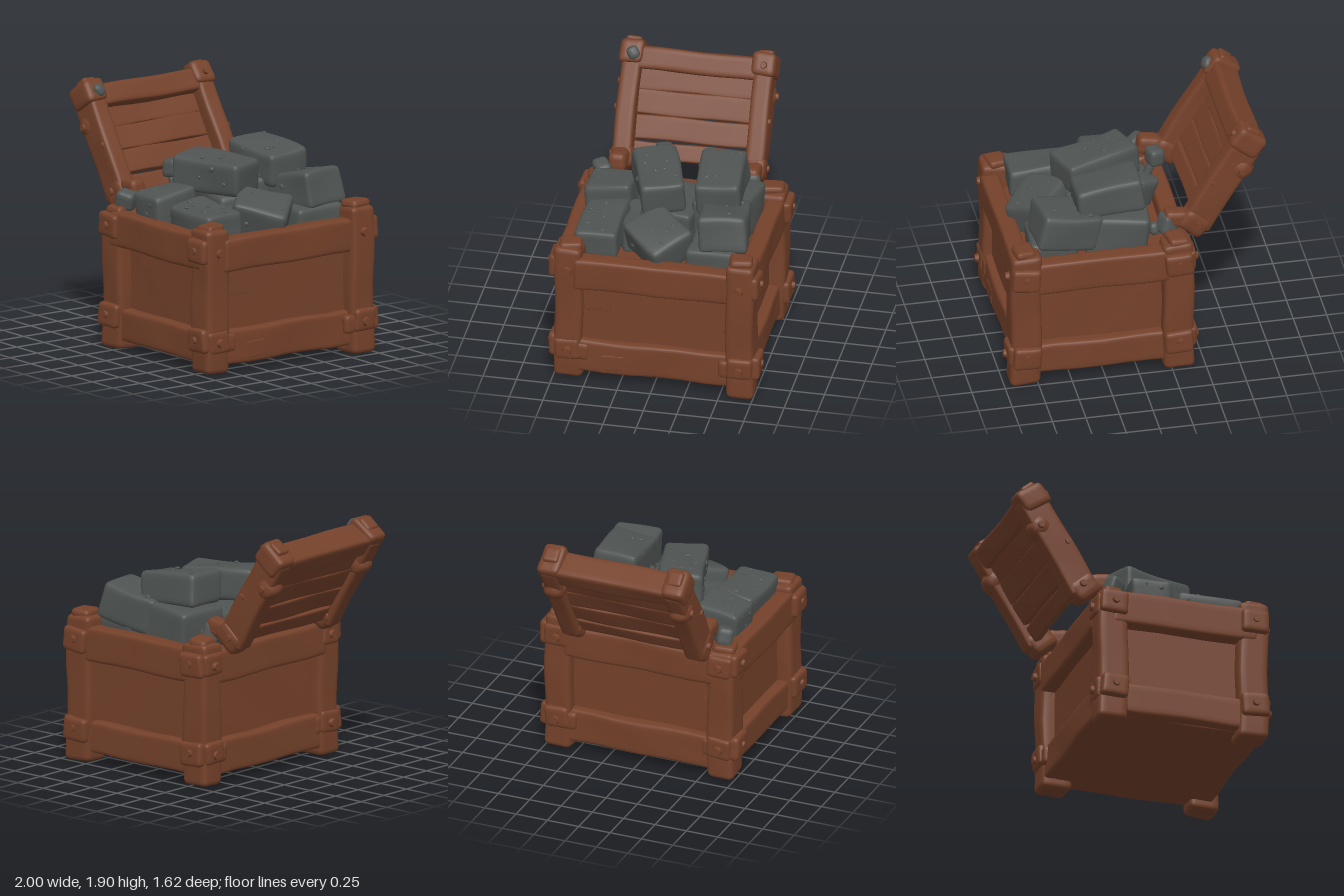
import * as THREE from 'three';
import { mergeVertices } from 'three/addons/utils/BufferGeometryUtils.js';

const wood = new THREE.MeshStandardMaterial({ color: 0x74412a });
wood.name = 'brown wood';
const coal = new THREE.MeshStandardMaterial({ color: 0x4f5452 });
coal.name = 'grey coal';

// Rounded box whose faces carry enough vertices to be bent by a gentle wave
function chunkGeometry(w, h, d, r, wobble, seed) {
  const n = 10, half = [w / 2, h / 2, d / 2];
  r = Math.min(r, ...half.map((v) => v * 0.9));
  let g = new THREE.BoxGeometry(w, h, d, n, n, n);
  g.deleteAttribute('normal');
  g.deleteAttribute('uv');
  g = mergeVertices(g, 1e-5);
  const p = g.attributes.position;
  for (let i = 0; i < p.count; i++) {
    const q = [p.getX(i), p.getY(i), p.getZ(i)].map((v, k) => {
      const s = Math.round((v / half[k]) * n / 2), a = Math.abs(s), e = half[k];
      const m = a === 5 ? e : a === 4 ? e - r * 0.45 : a === 3 ? e - r : (a / 3) * (e - r);
      return Math.sign(s) * m;
    });
    const inner = new THREE.Vector3(...q.map((v, k) => THREE.MathUtils.clamp(v, r - half[k], half[k] - r)));
    const v = new THREE.Vector3(...q).sub(inner);
    if (v.lengthSq() > 0) v.setLength(r);
    v.add(inner);
    const { x, y, z } = v;
    v.x += wobble * Math.sin(y * 9 + z * 7 + seed * 2.1);
    v.y += wobble * Math.sin(x * 8 + z * 9 + seed * 3.7);
    v.z += wobble * Math.sin(x * 9 + y * 8 + seed * 1.3);
    p.setXYZ(i, v.x, v.y, v.z);
  }
  g.computeVertexNormals();
  return g;
}

let seed = 0;
function chunk(parent, name, size, pos, rot = [0, 0, 0], mat = wood, r = 0.03, wobble = 0.006) {
  const m = new THREE.Mesh(chunkGeometry(...size, r, wobble, ++seed), mat);
  m.name = name;
  m.position.set(...pos);
  m.rotation.set(...rot, 'ZYX');
  parent.add(m);
  return m;
}

// Domed peg; axis is 'x' or 'z', dir is its outward sign
function peg(parent, pos, axis, dir, r = 0.032) {
  const m = new THREE.Mesh(new THREE.CylinderGeometry(r * 0.75, r, 0.035, 10), wood);
  m.name = 'peg';
  m.position.set(...pos);
  if (axis === 'x') m.rotation.z = -dir * Math.PI / 2;
  else m.rotation.x = dir * Math.PI / 2;
  parent.add(m);
}

function buildCrate() {
  const crate = new THREE.Group();
  crate.name = 'crate';
  chunk(crate, 'crateBody', [1.16, 0.84, 1.28], [0.26, 0.48, 0], [0, 0, 0], wood, 0.02, 0.002);

  // Rails around the top and bottom
  for (const s of [-1, 1]) {
    const x = s < 0 ? -0.345 : 0.85;
    chunk(crate, 'topRail', [1.12, 0.26, 0.14], [0.26, 0.9, s * 0.68], [0, 0, 0], wood, 0.03, 0.004);
    chunk(crate, 'bottomRail', [1.12, 0.24, 0.12], [0.26, 0.19, s * 0.66], [0, 0, 0], wood, 0.03, 0.004);
    chunk(crate, 'sideTopRail', [0.14, 0.25, 1.2], [x, 0.885, 0], [0, 0, 0], wood, 0.03, 0.004);
    chunk(crate, 'sideBottomRail', [0.12, 0.26, 1.2], [x - s * 0.01, 0.19, 0]);
  }

  // Corner posts: x, z, height
  const posts = [[-0.29, 0.64, 1.03], [0.79, 0.64, 1.08], [-0.3, -0.65, 1.07], [0.84, -0.65, 1.1]];
  for (const [x, z, h] of posts) {
    const sx = x < 0 ? -1 : 1, sz = Math.sign(z);
    chunk(crate, 'cornerPost', [0.23, h, 0.21], [x, h / 2, z], [0, 0, 0], wood, 0.04);
    chunk(crate, 'postCap', [0.15, 0.07, 0.17], [x, h, z], [0, 0.15, 0.04], wood, 0.03);
    for (const y of [0.25, 0.92]) {
      // Brackets wrapping the outer faces
      chunk(crate, 'bracket', [0.21, 0.18, 0.09], [x, y, z + sz * 0.1], [0, 0, 0.05 * sx]);
      peg(crate, [x, y + 0.01, z + sz * 0.145], 'z', sz);
      const plated = sx < 0 || y < 0.5;
      if (plated) chunk(crate, 'bracket', [0.07, 0.17, 0.19], [x + sx * 0.1, y, z], [0.06 * sz, 0, 0]);
      peg(crate, [x + sx * (plated ? 0.14 : 0.125), y - 0.01, z], 'x', sx, 0.038);
    }
    chunk(crate, 'railClamp', [0.07, 0.14, 0.13], [x + sx * 0.08, 0.23, z - sz * 0.09]);
  }

  // Thin patches on the sides
  chunk(crate, 'patch', [0.01, 0.19, 0.2], [0.842, 0.66, 0.43], [0.06, 0, 0], wood, 0.004, 0.001);
  chunk(crate, 'patch', [0.015, 0.12, 0.17], [0.9, 0.16, 0.3], [0.06, 0, 0], wood, 0.006, 0.001);
  return crate;
}

function buildLid() {
  const lid = new THREE.Group();
  lid.name = 'openLid';
  lid.position.set(-0.47, 1.1, 0.015);
  lid.rotation.z = 0.545;
  // Planks, with one open gap low down
  for (const [y, h] of [[0.065, 0.13], [0.235, 0.18], [0.42, 0.185], [0.595, 0.18]]) {
    chunk(lid, 'lidPlank', [0.07, h, 0.94], [-0.03, y, 0], [0.008, 0, 0], wood, 0.015, 0.004);
  }
  chunk(lid, 'lidTopBeam', [0.21, 0.17, 0.96], [0, 0.735, 0], [0, 0, 0], wood, 0.03, 0.004);
  for (const s of [-1, 1]) {
    const z = s * 0.495;
    chunk(lid, 'lidSideBeam', [0.23, 0.82, 0.145], [0, 0.38, z], [0, 0, 0], wood, 0.03, 0.004);
    chunk(lid, 'lidCornerCap', [0.24, 0.18, 0.18], [0.015, 0.77, z], [0, 0, 0.1], wood, 0.04);
    chunk(lid, 'lidTip', [0.12, 0.05, 0.12], [0.02, 0.855, z], [0, 0, 0.1]);
    chunk(lid, 'lidFoot', [0.23, 0.18, 0.17], [0.01, 0.0, z], [0, 0, 0.15], wood, 0.05);
    chunk(lid, 'hingeBlock', [0.18, 0.14, 0.13], [0.16, -0.03, z], [0, 0, -0.4], wood, 0.04);
    chunk(lid, 'lidKnob', [0.18, 0.18, 0.17], [-0.06, 0.55, z], [0, 0, 0.5], wood, 0.075);
    peg(lid, [-0.06, 0.55, s * 0.582], 'z', s);
    peg(lid, [0.07, 0.36, s * 0.565], 'z', s, 0.03);
    peg(lid, [0, 0.02, s * 0.578], 'z', s);
    peg(lid, [0.135, 0.77, z], 'x', 1, 0.03);
  }
  return lid;
}

function buildCoal() {
  const pile = new THREE.Group();
  pile.name = 'coalPile';
  // Size, centre, rotation of each lump
  const lumps = [
    [[0.5, 0.25, 0.34], [0.16, 1.355, -0.36], [0.08, 0.04, -0.1]],
    [[0.46, 0.28, 0.36], [0.5, 1.18, -0.45], [0.05, 0.1, 0.2]],
    [[0.58, 0.25, 0.33], [0.155, 1.315, 0.11], [0.04, 0.34, -0.03]],
    [[0.41, 0.26, 0.36], [0.58, 1.06, 0.02], [0.05, 0.85, -0.33]],
    [[0.5, 0.22, 0.32], [0.5, 1.055, 0.46], [0.1, -0.03, -0.05]],
    [[0.31, 0.26, 0.36], [0.04, 1.09, 0.48], [0.12, -0.1, 0.04]],
    [[0.2, 0.26, 0.32], [-0.15, 1.03, 0.2], [0, 0.5, 0.3]],
    [[0.46, 0.3, 0.42], [0.11, 1.1, -0.4], [0, -0.1, 0.05]],
    [[0.52, 0.26, 0.4], [0.14, 1.05, -0.03], [0, -0.2, 0]],
    [[0.4, 0.24, 0.36], [0.3, 1.0, 0.2], [0, 0.4, 0]],
    [[0.36, 0.24, 0.4], [0.59, 0.98, -0.41], [0, -0.1, 0]],
  ];
  lumps.forEach(([size, pos, rot], i) => {
    const lump = chunk(pile, 'coalLump', size, pos, rot, coal, 0.04, 0.008);
    if (i > 5) return;
    // Small flattened nubs over the top and front
    for (let k = 0; k < 10; k++) {
      const nub = new THREE.Mesh(new THREE.IcosahedronGeometry(0.014 + 0.005 * (k % 3), 0), coal);
      nub.name = 'coalNub';
      const a = ((k * 0.755 + i * 0.31) % 1 - 0.5) * 0.75, b = ((k * 0.57 + i * 0.17) % 1 - 0.5) * 0.7;
      if (k < 7) {
        nub.position.set(a * size[0], size[1] / 2, b * size[2]);
        nub.scale.y = 0.5;
      } else {
        nub.position.set(a * size[0], b * size[1], size[2] / 2);
        nub.scale.z = 0.5;
      }
      lump.add(nub);
    }
  });
  // Loose chips on the rim and lid
  const chips = [
    [[0.12, 0.14, 0.13], [-0.3, 1.28, 0.17], [0, 0.3, 0.05]],
    [[0.06, 0.2, 0.07], [-0.25, 1.13, 0.18], [0, 0, 0.35]],
    [[0.13, 0.16, 0.13], [-0.26, 1.11, -0.5], [0.2, 0.4, 0.3]],
    [[0.08, 0.1, 0.08], [-0.17, 1.07, -0.47], [0.3, 0.2, 0]],
    [[0.14, 0.14, 0.12], [-0.26, 1.1, 0.62], [0.1, 0.5, -0.3]],
    [[0.08, 0.1, 0.09], [-0.755, 1.82, 0.5], [0.6, 0.2, 0.5]],
  ];
  for (const [size, pos, rot] of chips) chunk(pile, 'coalChip', size, pos, rot, coal, 0.035, 0.006);
  return pile;
}

export function createModel() {
  seed = 0;
  const model = new THREE.Group();
  model.name = 'coalCrate';
  model.add(buildCrate(), buildLid(), buildCoal());
  return model;
}
